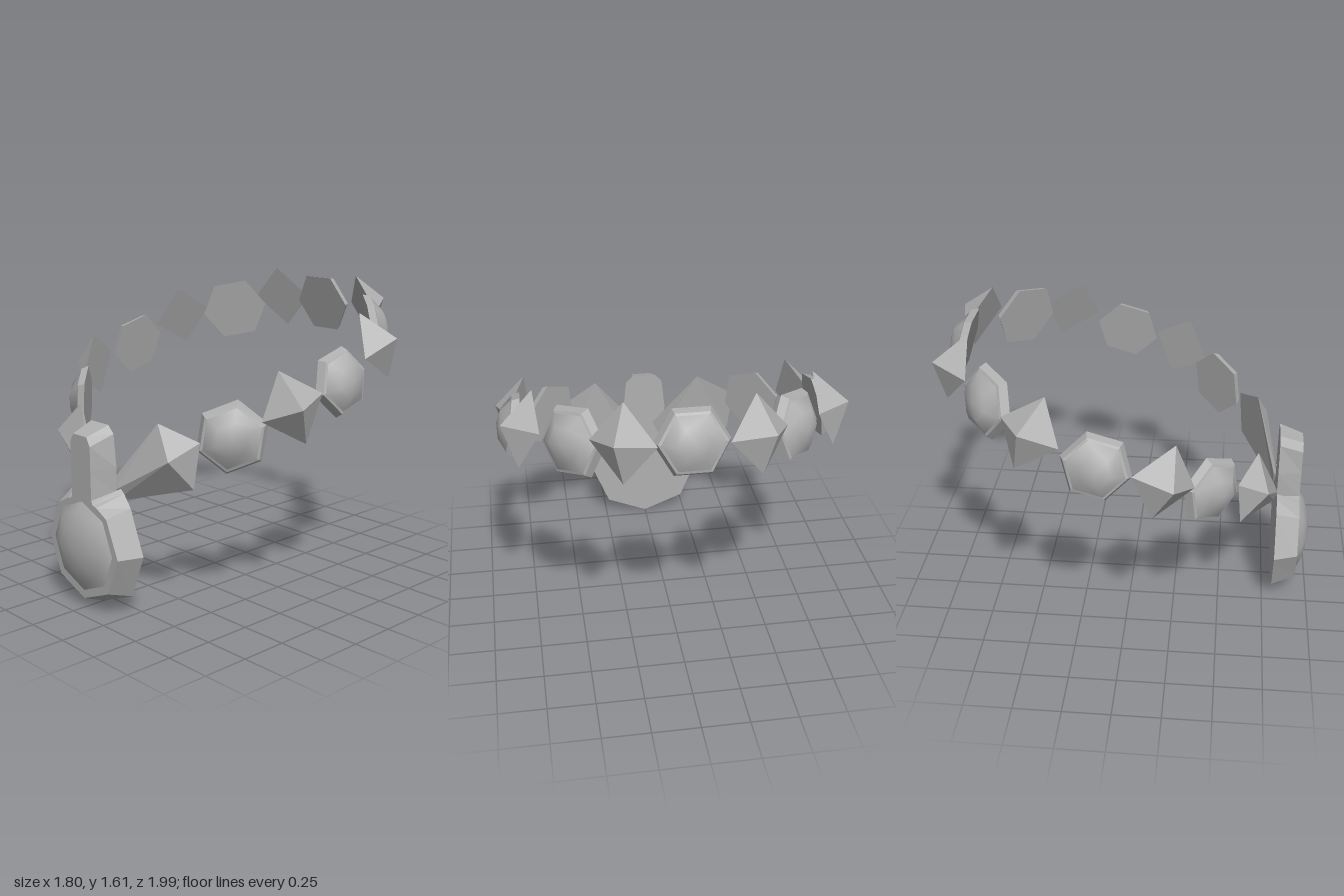
import * as THREE from 'three';
import { mergeVertices } from 'three/addons/utils/BufferGeometryUtils.js';

const V = (a) => new THREE.Vector3(...a);

export function createModel() {
  const model = new THREE.Group();
  const stone = new THREE.MeshStandardMaterial({ color: 0xb0b0b0 });
  stone.name = 'stone grey';

  const add = (geometry, name) => {
    const mesh = new THREE.Mesh(geometry, stone);
    mesh.name = name;
    model.add(mesh);
  };

  // Skin between rings of points (counter-clockwise seen from the outside end)
  function loft(rings, { smooth = false, cap = false, mirror = false } = {}) {
    const pos = [];
    const tri = (a, b, c) => {
      if (a.equals(b) || b.equals(c) || a.equals(c)) return;
      for (const p of mirror ? [a, c, b] : [a, b, c]) pos.push(mirror ? -p.x : p.x, p.y, p.z);
    };
    const n = rings[0].length;
    for (let r = 0; r + 1 < rings.length; r++) {
      for (let i = 0; i < n; i++) {
        const j = (i + 1) % n;
        tri(rings[r][i], rings[r][j], rings[r + 1][j]);
        tri(rings[r][i], rings[r + 1][j], rings[r + 1][i]);
      }
    }
    if (cap) {
      for (let i = 1; i + 1 < n; i++) tri(rings[0][0], rings[0][i + 1], rings[0][i]);
    }
    let g = new THREE.BufferGeometry();
    g.setAttribute('position', new THREE.Float32BufferAttribute(pos, 3));
    if (smooth) g = mergeVertices(g, 1e-4);
    g.computeVertexNormals();
    return g;
  }

  // Polygon rings scaled and raised along the normal
  function polygonRings(sides, center, u, v, n, profile) {
    return profile.map(([r, h]) => Array.from({ length: sides }, (_, i) => {
      const t = (i / sides) * Math.PI * 2;
      return center.clone().addScaledVector(u, r * Math.cos(t))
        .addScaledVector(v, r * Math.sin(t)).addScaledVector(n, h);
    }));
  }

  // Hexagonal bead: bevelled setting with a smooth domed stone
  function hexBead(c, uDir, nDir, name, mirror) {
    const center = V(c), u = V(uDir), n = V(nDir).normalize();
    const v = n.clone().cross(u).setLength(u.length());
    const rim = polygonRings(6, center, u, v, n, [[1, 0], [0.9, 0.04], [0.82, 0.045]]);
    const dome = polygonRings(6, center, u, v, n, [[0.82, 0.045], [0.46, 0.09], [0, 0.105]]);
    add(loft(rim, { cap: true, mirror }), name + 'Setting');
    add(loft(dome, { smooth: true, mirror }), name + 'Dome');
  }

  // Four-sided pyramid bead from two half diagonals
  function pyramidBead(c, d1, d2, name, mirror) {
    const center = V(c), a = V(d1), b = V(d2);
    const n = a.clone().cross(b).normalize();
    add(loft(polygonRings(4, center, a, b, n, [[1, 0], [0, 0.135]]), { cap: true, mirror }), name);
  }

  // Tapered spike beside the pendant: five-sided base rising to a ridge
  function spike(name, mirror) {
    const base = [[0.31, 1.0, 0.68], [0.05, 0.655, 0.785], [0.09, 0.57, 0.785],
      [0.485, 0.68, 0.6], [0.51, 0.92, 0.58]].map(V);
    const apex = V([0.455, 0.84, 0.74]), end = V([0.1, 0.63, 0.805]);
    add(loft([base, [apex, end, end, apex, apex]], { cap: true, mirror }), name);
  }

  // Chain of beads
  hexBead([0, 1.425, -0.88], [0.185, 0, 0], [0, 0.25, -0.97], 'backBead', false);
  for (const mirror of [false, true]) {
    const side = mirror ? 'right' : 'left';
    pyramidBead([0.32, 1.435, -0.875], [-0.01, 0.18, 0.065], [0.15, -0.005, 0.072], side + 'BackPyramid', mirror);
    hexBead([0.53, 1.355, -0.67], [0.138, -0.035, 0.13], [0.66, 0.2, -0.72], side + 'RearBead', mirror);
    pyramidBead([0.755, 1.313, -0.435], [-0.045, 0.175, 0.075], [0.065, -0.045, 0.15], side + 'RearPyramid', mirror);
    hexBead([0.795, 1.17, -0.11], [0, -0.05, 0.175], [0.98, 0.17, 0.03], side + 'SideBead', mirror);
    pyramidBead([0.78, 1.085, 0.215], [-0.045, 0.185, 0.055], [-0.062, -0.06, 0.15], side + 'FrontPyramid', mirror);
    hexBead([0.585, 0.94, 0.435], [0.125, 0.07, -0.125], [0.7, 0.02, 0.71], side + 'FrontBead', mirror);
    spike(side + 'Spike', mirror);
  }

  // Pendant outlines, right half from the bottom up, then mirrored
  const outline = (half) => [[0, half[0][1]], ...half.slice(1),
    ...half.slice(1).reverse().map(([x, y]) => [-x, y])];
  const backLine = outline([[0, 0.005], [0.235, 0.1], [0.33, 0.335], [0.235, 0.57],
    [0.185, 0.635], [0.16, 0.655], [0.122, 0.62], [0.128, 0.76], [0.11, 0.93], [0.07, 0.97]]);
  const frontLine = outline([[0, 0.055], [0.2, 0.135], [0.285, 0.335], [0.2, 0.53],
    [0.12, 0.572], [0.09, 0.58], [0.08, 0.6], [0.08, 0.75], [0.08, 0.88], [0.055, 0.925]]);
  const ring = (line, z) => line.map(([x, y]) => V([x, y, z]));
  const plate = (line) => new THREE.ShapeGeometry(
    new THREE.Shape(line.map(([x, y]) => new THREE.Vector2(x, y))));

  add(loft([ring(backLine, 0.8), ring(frontLine, 0.928)]), 'pendantSides');
  add(plate(frontLine).translate(0, 0, 0.928), 'pendantFront');
  add(plate(backLine).rotateY(Math.PI).translate(0, 0, 0.8), 'pendantBack');

  // Smooth dome on the pendant
  const dome = polygonRings(8, V([0, 0.34, 0.928]), V([0.24, 0, 0]), V([0, 0.24, 0]), V([0, 0, 1]),
    [[1, 0], [0.8, 0.03], [0.5, 0.054], [0, 0.072]]);
  add(loft(dome, { smooth: true }), 'pendantDome');

  return model;
}
